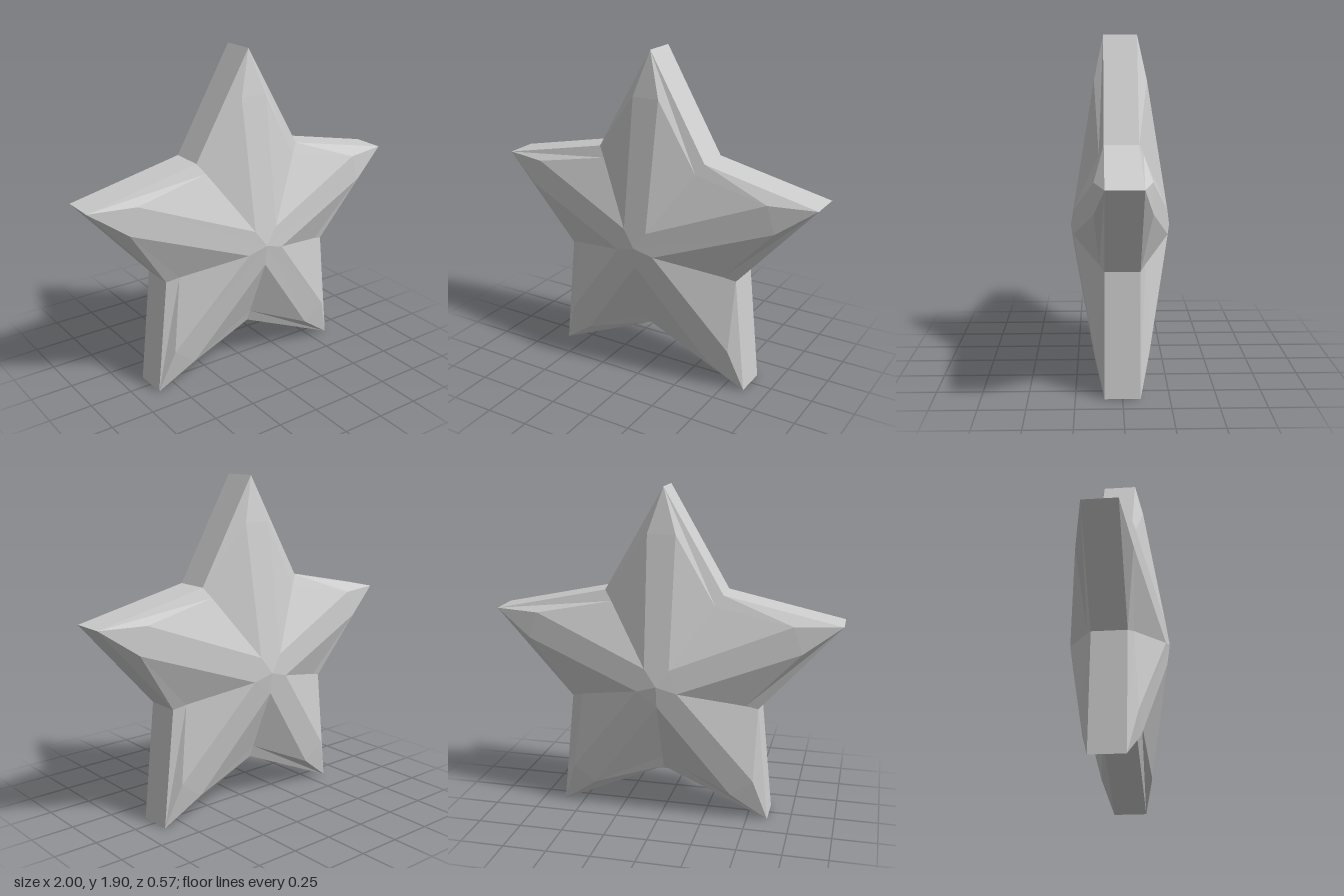
import * as THREE from 'three';

const CY = 0.85;       // centre height of the star
const RIM = 0.095;     // half thickness of the rim
const STEP = Math.PI * 2 / 5;

// Point at radius `along` and sideways offset `side` in the frame of an arm turned by `angle`.
function at(angle, along, side, z, cy = CY) {
  const s = Math.sin(angle), c = Math.cos(angle);
  return [along * s + side * c, cy + along * c - side * s, z];
}

// Fan-triangulate one polygon into the position list.
function addFace(out, points, reversed) {
  const p = reversed ? [...points].reverse() : points;
  for (let i = 1; i < p.length - 1; i++) out.push(...p[0], ...p[i], ...p[i + 1]);
}

function makeMesh(name, positions, material) {
  const geometry = new THREE.BufferGeometry();
  geometry.setAttribute('position', new THREE.Float32BufferAttribute(positions, 3));
  geometry.computeVertexNormals(); // separate triangles stay flat
  const mesh = new THREE.Mesh(geometry, material);
  mesh.name = name;
  return mesh;
}

// Domed, faceted half of the star; dir is +1 for the front and -1 for the back.
function domePositions(dir) {
  const out = [];
  const apex = [0, 0.82, 0.285 * dir];
  for (let i = 0; i < 5; i++) {
    const a = i * STEP;
    const tip = at(a, 1.0515, 0, RIM * dir);
    const corners = [1, -1].map((s) => {
      const v = a + s * STEP / 2;
      return {
        s,
        ridge: at(a, 0.8, 0.08 * s, 0.148 * dir),       // outer end of the ridge strip
        crease: at(v, 0.12, 0, 0.269 * dir, 0.82),      // where two strips meet
        inset: at(v, 0.505, 0, 0.122 * dir),            // inner end of the rim bevel
        notch: at(v, 0.577, 0, RIM * dir),              // valley of the outline
      };
    });
    const [r, l] = corners;
    // Flat strip along the ridge and its pointed end
    addFace(out, [apex, r.crease, r.ridge, l.ridge, l.crease], dir < 0);
    addFace(out, [r.ridge, tip, l.ridge], dir < 0);
    for (const c of corners) {
      const flip = c.s * dir < 0;
      addFace(out, [c.crease, c.inset, c.ridge], flip);       // sloping facet
      addFace(out, [c.inset, c.notch, tip, c.ridge], flip);   // bevel along the rim
    }
  }
  return out;
}

// Straight side walls around the outline.
function rimPositions() {
  const out = [];
  for (let i = 0; i < 5; i++) {
    const a = i * STEP;
    for (const s of [1, -1]) {
      const v = a + s * STEP / 2;
      addFace(out, [
        at(v, 0.577, 0, RIM), at(v, 0.577, 0, -RIM),
        at(a, 1.0515, 0, -RIM), at(a, 1.0515, 0, RIM),
      ], s < 0);
    }
  }
  return out;
}

export function createModel() {
  const grey = new THREE.MeshStandardMaterial({ color: 0xcccccc });
  grey.name = 'light grey';
  const star = new THREE.Group();
  star.name = 'star';
  star.add(
    makeMesh('frontFacets', domePositions(1), grey),
    makeMesh('backFacets', domePositions(-1), grey),
    makeMesh('rim', rimPositions(), grey),
  );
  return star;
}
